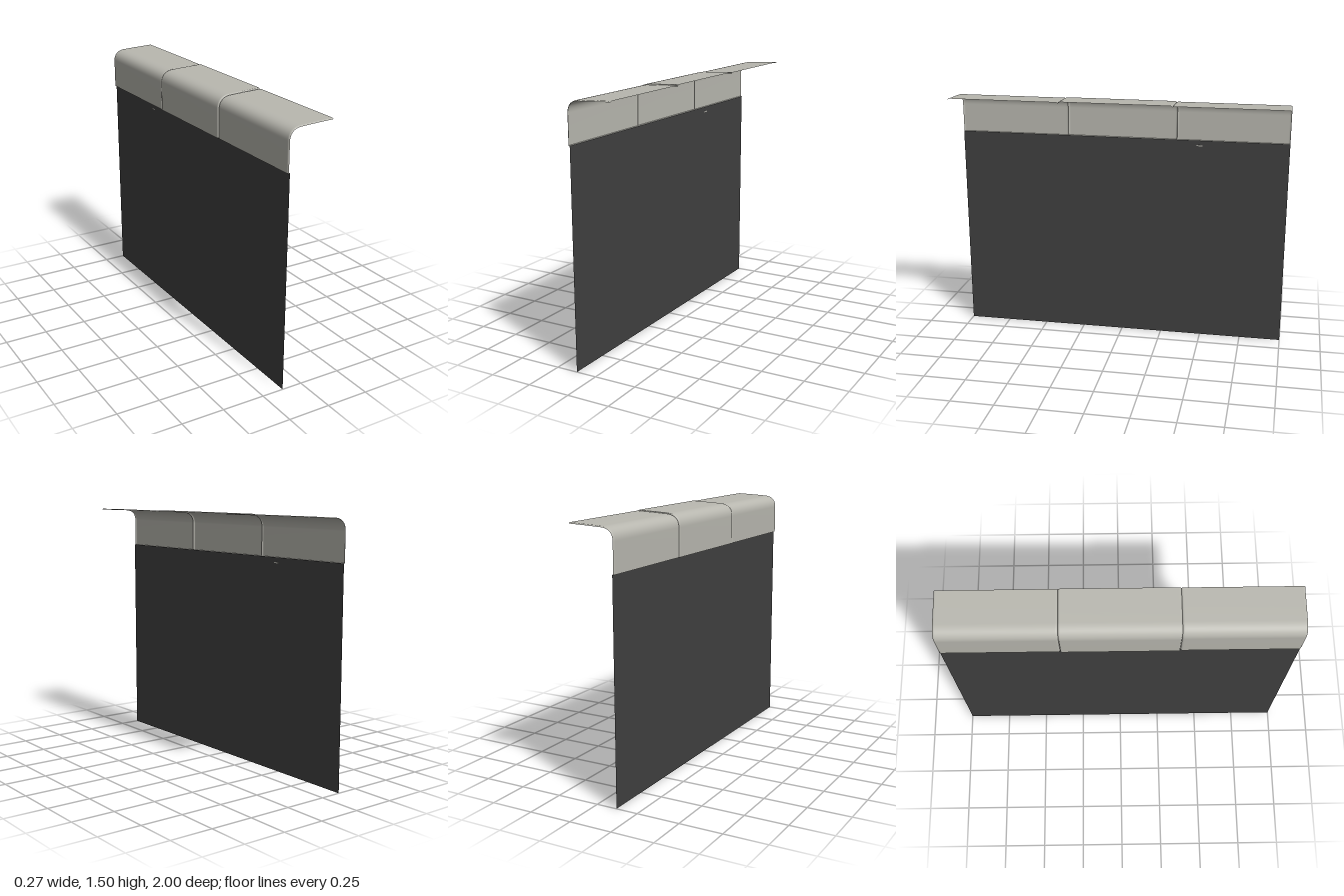
import * as THREE from 'three';

const shellMat = new THREE.MeshStandardMaterial({ color: 0xb9b8b0, side: THREE.DoubleSide });
shellMat.name = 'warm grey shell';
const sheetMat = new THREE.MeshStandardMaterial({ color: 0x404040, side: THREE.DoubleSide });
sheetMat.name = 'charcoal fabric';

const WALL_X = -0.134, FOOT_Y = 1.253, SHEET_X = -0.122;

// Cross-section of the cover: upright wall, rounded shoulder, slightly rising top
function coverProfile() {
  const shoulder = new THREE.CubicBezierCurve(
    new THREE.Vector2(WALL_X, 1.42), new THREE.Vector2(WALL_X, 1.465),
    new THREE.Vector2(-0.108, 1.49), new THREE.Vector2(-0.06, 1.493));
  return [new THREE.Vector2(WALL_X, FOOT_Y), new THREE.Vector2(WALL_X, 1.34),
    ...shoulder.getPoints(16),
    new THREE.Vector2(0.02, 1.497), new THREE.Vector2(0.134, 1.501)];
}

// Unit normals pointing to the hollow side of the profile
function inwardNormals(pts) {
  return pts.map((p, i) => {
    const a = pts[Math.max(i - 1, 0)], b = pts[Math.min(i + 1, pts.length - 1)];
    const t = b.clone().sub(a).normalize();
    return new THREE.Vector2(t.y, -t.x);
  });
}

// Skin joining rows of equal length
function skin(rows) {
  const n = rows[0].length, index = [];
  for (let r = 0; r < rows.length - 1; r++)
    for (let i = 0; i < n - 1; i++) {
      const a = r * n + i, b = a + n;
      index.push(a, b, a + 1, b, b + 1, a + 1);
    }
  const geo = new THREE.BufferGeometry();
  geo.setAttribute('position', new THREE.Float32BufferAttribute(rows.flat(2), 3));
  geo.setIndex(index);
  geo.computeVertexNormals();
  return geo;
}

// One cover section with softly turned-in ends
function coverSection(name, z0, z1, raise) {
  const group = new THREE.Group();
  group.name = name;
  const pts = coverProfile(), normals = inwardNormals(pts);
  const ends = [[0, 0.006], [0.002, 0.003], [0.005, 0.001 - raise], [0.009, -raise], [0.014, -raise]];
  const stations = [
    ...ends.map(([d, inset]) => [z0 + d, inset]),
    ...ends.map(([d, inset]) => [z1 - d, inset]).reverse()];
  const rows = stations.map(([z, inset]) => pts.map((p, i) =>
    [p.x + normals[i].x * inset, p.y + normals[i].y * inset, z]));
  const shell = new THREE.Mesh(skin(rows), shellMat);
  shell.name = 'shell';
  // Narrow foot folded in under the wall
  const foot = new THREE.Mesh(skin(rows.map(row => [[SHEET_X + 0.002, FOOT_Y, row[0][2]], row[0]])), shellMat);
  foot.name = 'foot';
  group.add(shell, foot);
  return group;
}

export function createModel() {
  const model = new THREE.Group();
  model.name = 'coverWithHangingSheet';

  // Three cover sections, the middle one slightly proud
  const seam = 0.333;
  model.add(
    coverSection('frontSection', seam, 1, 0),
    coverSection('middleSection', -seam, seam, 0.003),
    coverSection('backSection', -1, -seam, 0));

  // Sheet hanging from the foot
  const sheet = new THREE.Mesh(new THREE.PlaneGeometry(2, FOOT_Y), sheetMat);
  sheet.name = 'hangingSheet';
  sheet.rotation.y = Math.PI / 2;
  sheet.position.set(SHEET_X, FOOT_Y / 2, 0);
  model.add(sheet);

  // Small plain tag on the sheet
  const tag = new THREE.Mesh(new THREE.BoxGeometry(0.002, 0.006, 0.036), shellMat);
  tag.name = 'tag';
  tag.position.set(SHEET_X + 0.001, 1.222, -0.467);
  model.add(tag);

  return model;
}
